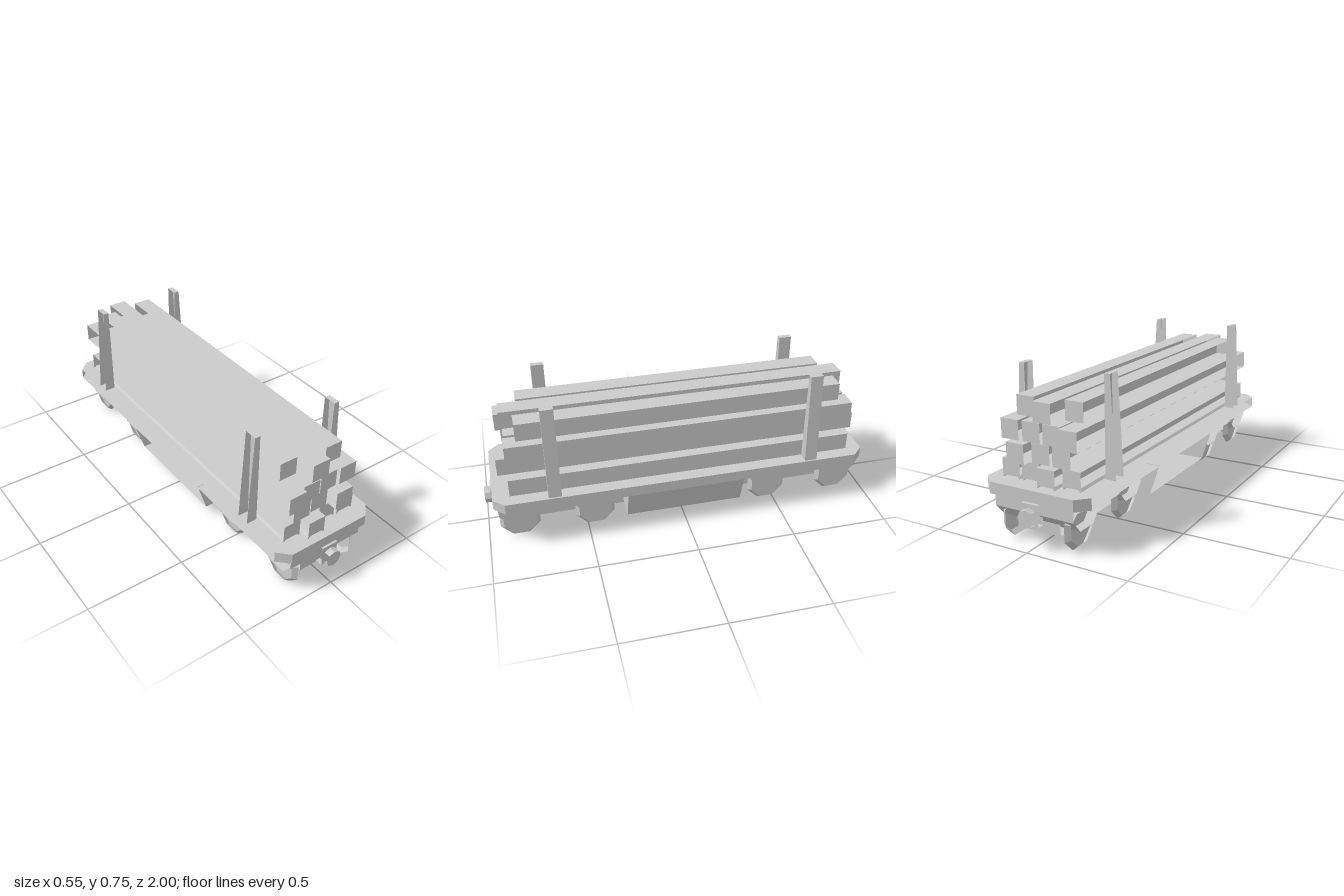
import * as THREE from 'three';

// Parts are open shells, so both faces show
const material = new THREE.MeshStandardMaterial({
  color: 0xcccccc, flatShading: true, side: THREE.DoubleSide,
});

// Leaves out the panels that face -x, turning a solid into an open shell
function openShell(solid) {
  const source = solid.index ? solid.toNonIndexed() : solid;
  const p = source.attributes.position;
  const triangle = new THREE.Triangle();
  const normal = new THREE.Vector3();
  const kept = [];
  for (let i = 0; i < p.count; i += 3) {
    triangle.setFromAttributeAndIndices(p, i, i + 1, i + 2);
    if (triangle.getNormal(normal).x > -0.75) kept.push(triangle.a.clone(), triangle.b.clone(), triangle.c.clone());
  }
  const shell = new THREE.BufferGeometry().setFromPoints(kept);
  shell.computeVertexNormals();
  return shell;
}

export function createModel() {
  const model = new THREE.Group();

  const add = (name, geometry, x = 0, y = 0, z = 0) => {
    const mesh = new THREE.Mesh(openShell(geometry), material);
    mesh.name = name;
    mesh.position.set(x, y, z);
    model.add(mesh);
  };
  const box = (name, x0, x1, y0, y1, z0, z1) =>
    add(name, new THREE.BoxGeometry(x1 - x0, y1 - y0, z1 - z0),
      (x0 + x1) / 2, (y0 + y1) / 2, (z0 + z1) / 2);
  const extrude = (points, depth) =>
    new THREE.ExtrudeGeometry(
      new THREE.Shape(points.map(([a, b]) => new THREE.Vector2(a, b))),
      { depth, bevelEnabled: false });

  // Deck with clipped corners
  const w = 0.273, l = 0.96, c = 0.056;
  const deck = extrude([
    [w, -l + c], [w, l - c], [w - c, l], [-w + c, l],
    [-w, l - c], [-w, -l + c], [-w + c, -l], [w - c, -l],
  ], 0.055).rotateX(-Math.PI / 2);
  add('deck', deck, 0, 0.22, 0);

  // Wide central belly with sloping sides and square ends, on a narrow full-length spine
  add('belly', extrude([[-0.22, 0.065], [0.22, 0.065], [0.27, 0.222], [-0.27, 0.222]], 0.602), 0, 0, -0.299);
  box('spine', -0.113, 0.113, 0.065, 0.222, -0.905, 0.905);

  // Bogie frame: a strip that dips over each axle, in (z, y)
  const frameProfile = [
    [0.94, 0.16], [0.94, 0.215], [0.91, 0.215], [0.875, 0.187], [0.805, 0.187], [0.77, 0.215],
    [0.53, 0.215], [0.495, 0.187], [0.425, 0.187], [0.39, 0.215], [0.36, 0.215], [0.36, 0.16],
    [0.41, 0.103], [0.51, 0.103], [0.56, 0.16], [0.74, 0.16], [0.79, 0.103], [0.89, 0.103],
  ];

  // Eight-sided wheel, bevelled outwards, its top kept inside the bogie frame
  const k = Math.cos(Math.PI / 8);
  const wheelGeometry = (side) => {
    const g = new THREE.CylinderGeometry(0.082 / k, 0.1 / k, 0.023, 8, 1, false, Math.PI / 8)
      .rotateZ(-side * Math.PI / 2);
    const p = g.attributes.position;
    for (let i = 0; i < p.count; i++) p.setY(i, Math.min(p.getY(i), 0.07));
    return g;
  };

  for (const end of [1, -1]) {
    // A half turn about y gives the same frame at the other end
    const frame = extrude(frameProfile, 0.41).rotateY(-Math.PI / 2).translate(0.205, 0, 0);
    add('bogieFrame', frame.rotateY(end > 0 ? 0 : Math.PI));

    // Coupler block and octagonal buffer
    box('couplerBlock', -0.043, 0.043, 0.115, 0.216, end * 0.95 - 0.018, end * 0.95 + 0.018);
    add('coupler', new THREE.CylinderGeometry(0.042, 0.042, 0.05, 8).rotateX(Math.PI / 2),
      0, 0.157, end * 0.975);

    for (const side of [1, -1]) {
      for (const z of [0.46, 0.84]) {
        add('wheel', wheelGeometry(side), side * 0.1675, 0.102, end * z);
      }

      // Tapered stakes, upright on the inner face
      const stake = extrude([
        [side * 0.21, 0.27], [side * 0.265, 0.27], [side * 0.238, 0.752], [side * 0.21, 0.752],
      ], 0.064);
      add('stake', stake, 0, 0, end * 0.66 - 0.032);
    }
  }

  // Bottom timbers with a shallow groove along the underside
  const groovedEnd = [
    [0, 0], [0.004, 0], [0.014, 0.011], [0.077, 0.011], [0.088, 0], [0.092, 0], [0.092, 0.091], [0, 0.091],
  ];
  const bottomRow = [[-0.205, -0.88, 0.88], [-0.1, -0.92, 0.925], [0.008, -0.88, 0.87], [0.113, -0.88, 0.875]];
  for (const [x, back, front] of bottomRow) {
    add('groovedTimber', extrude(groovedEnd, front - back), x, 0.275, back);
  }

  // Stacked timbers above: [left edge x, back z, front z] per beam
  const rows = [
    { y: 0.366, beams: [[-0.155, -0.88, 0.88], [-0.048, -0.88, 0.87], [0.057, -0.92, 0.92]] },
    { y: 0.458, beams: [[-0.209, -0.91, 0.908], [-0.109, -0.88, 0.88], [-0.002, -0.88, 0.87], [0.107, -0.885, 0.875]] },
    { y: 0.553, beams: [[-0.172, -0.8, 0.79], [-0.064, -0.885, 0.88], [0.064, -0.825, 0.815]] },
  ];
  for (const { y, beams } of rows) {
    for (const [x, back, front] of beams) box('timberBeam', x, x + 0.092, y, y + 0.0915, back, front);
  }

  return model;
}
